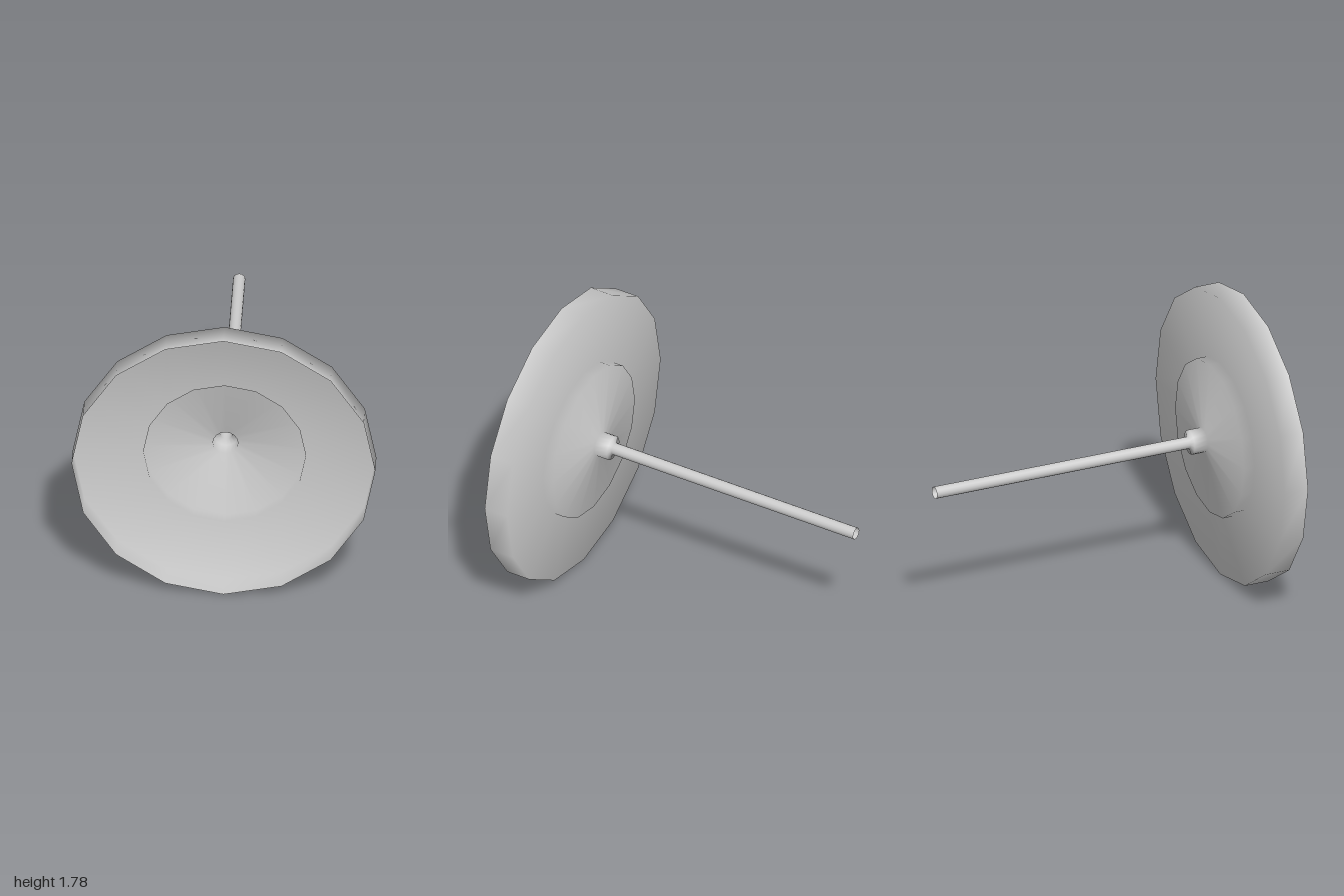
import * as THREE from 'three';

export function createModel() {
  const model = new THREE.Group();
  model.name = 'funnel';

  // Open shell, from the back end of the stem to the front rim: [radius, z]
  const profile = [
    [0.036, -1],
    [0.036, 0.64], // stem
    [0.074, 0.65],
    [0.074, 0.735], // collar
    [0.476, 0.78], // shallow cone
    [0.476, 0.848], // step
    [0.89, 0.848], // flat ring
    [0.89, 1], // rim
  ].map(([r, z]) => new THREE.Vector2(r, z));

  const shell = new THREE.Mesh(
    new THREE.LatheGeometry(profile, 16).rotateX(Math.PI / 2),
    new THREE.MeshStandardMaterial({ color: 0xcccccc, side: THREE.DoubleSide })
  );
  shell.name = 'funnelShell';
  shell.position.y = 0.89;
  model.add(shell);
  return model;
}
